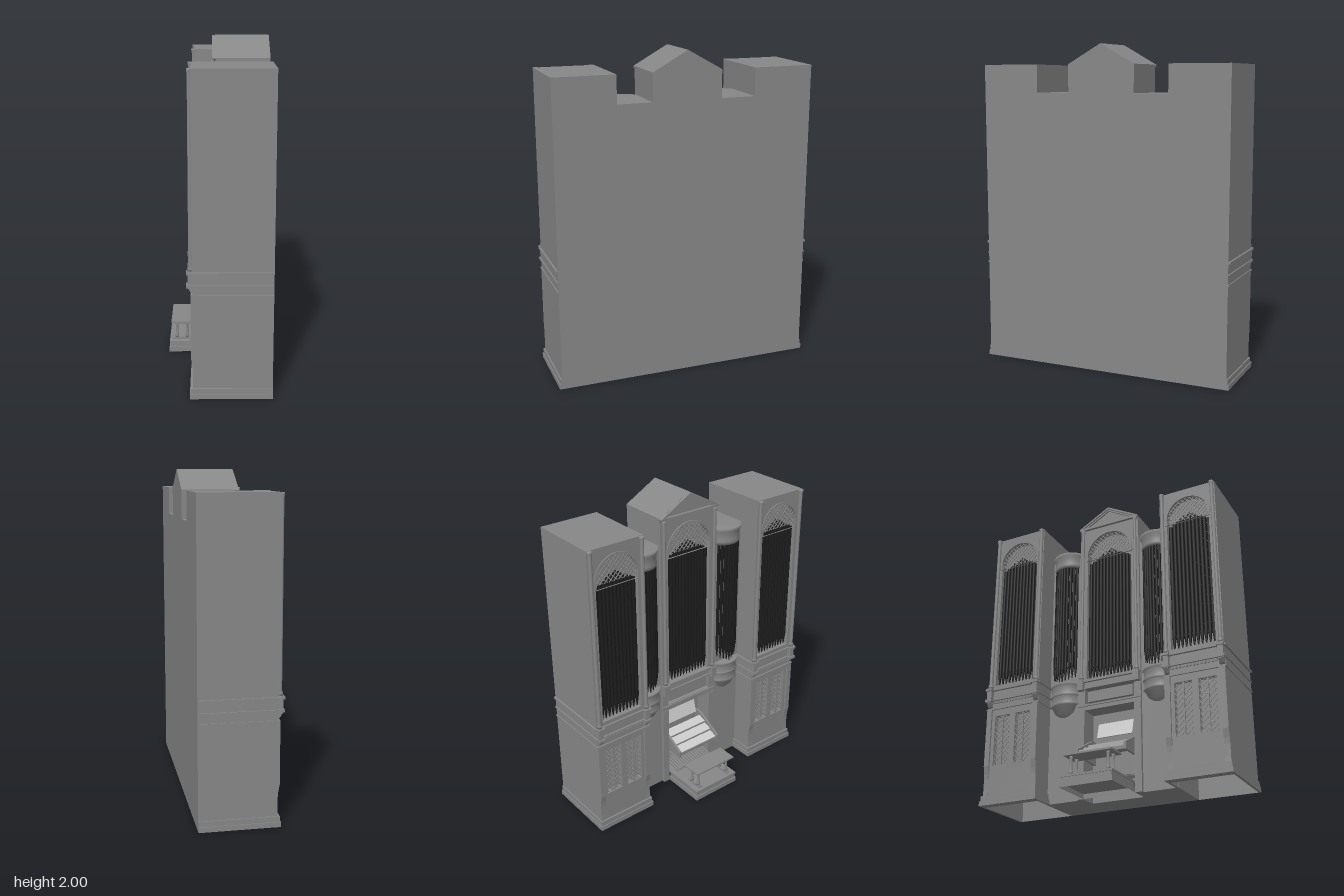
import * as THREE from 'three';

const wood = new THREE.MeshStandardMaterial({ color: 0x878787, side: THREE.DoubleSide });
const metal = new THREE.MeshStandardMaterial({ color: 0x1c1c1c, side: THREE.DoubleSide });
const ivory = new THREE.MeshStandardMaterial({ color: 0xd8d8d8 });

function add(parent, name, geo, mat = wood) {
  const mesh = new THREE.Mesh(geo, mat);
  mesh.name = name;
  parent.add(mesh);
  return mesh;
}

// Box given by its limits; open = without underside
function box(parent, name, x0, x1, y0, y1, z0, z1, open = false, mat = wood) {
  const g = new THREE.BoxGeometry(x1 - x0, y1 - y0, z1 - z0);
  if (open) {
    g.setIndex(Array.from(g.index.array).filter((_, i) => i < 18 || i > 23));
    g.clearGroups();
  }
  g.translate((x0 + x1) / 2, (y0 + y1) / 2, (z0 + z1) / 2);
  return add(parent, name, g, mat);
}

const points = pts => pts.map(p => new THREE.Vector2(...p));
const poly = pts => new THREE.Shape(points(pts));
const rect = (z0, z1, y0, y1) => poly([[z0, y0], [z1, y0], [z1, y1], [z0, y1]]);

// Round-headed outline
function arch(z, half, y0, spring) {
  const s = new THREE.Shape();
  s.moveTo(z - half, y0);
  s.lineTo(z + half, y0);
  s.lineTo(z + half, spring);
  s.absarc(z, spring, half, 0, Math.PI, false);
  s.closePath();
  return s;
}

// Outline in (z, y) extruded along x, holes optional
function slab(parent, name, shape, x0, x1, holes = []) {
  shape.holes.push(...holes);
  const g = new THREE.ExtrudeGeometry(shape, { depth: x1 - x0, bevelEnabled: false, curveSegments: 16 });
  g.rotateY(-Math.PI / 2).translate(x1, 0, 0);
  return add(parent, name, g);
}

// Side profile in (x, y) extruded along z, centred on z
function profile(parent, name, pts, z, width) {
  const g = new THREE.ExtrudeGeometry(poly(pts), { depth: width, bevelEnabled: false });
  return add(parent, name, g.translate(0, 0, z - width / 2));
}

// Crossing diagonal bars inside a rectangle
function lattice(parent, x, z0, z1, y0, y1, step) {
  const w = z1 - z0, h = y1 - y0;
  for (const dir of [1, -1]) {
    for (let c = step - h; c < w; c += step) {
      const a = Math.max(0, c), b = Math.min(w, c + h);
      if (b - a < 0.005) continue;
      const mid = (a + b) / 2;
      const bar = add(parent, 'latticeBar', new THREE.BoxGeometry(0.004, 0.005, (b - a) * Math.SQRT2));
      bar.position.set(x, y0 + mid - c, dir > 0 ? z0 + mid : z1 - mid);
      bar.rotation.x = -dir * Math.PI / 4;
    }
  }
}

// Organ pipe with tapered foot and mouth
function pipe(parent, x, z, y0, y1, r) {
  const foot = 0.075, h = y1 - y0;
  const pts = [[r * 0.25, 0], [r, foot], [r, h], [r * 0.8, h], [r * 0.8, h - 0.02]];
  add(parent, 'pipe', new THREE.LatheGeometry(points(pts), 12), metal).position.set(x, y0, z);
  box(parent, 'pipeMouth', x - r - 0.001, x - r * 0.7, y0 + foot, y0 + foot + 0.014, z - r * 0.5, z + r * 0.5, false, metal);
}

// Row of pipes: the middle ones are the longest
function pipeRow(parent, x, z, half, n, y0, y1, drop) {
  for (let i = 0; i < n; i++) {
    const t = (2 * i + 1) / n - 1;
    pipe(parent, x, z + t * half, y0, y1 - drop * Math.abs(t), half / n * 0.95);
  }
}

// Moulding round the front and both ends of a block
function band(parent, name, xf, z0, z1, y0, y1, out) {
  box(parent, name, xf - out, xf + 0.004, y0, y1, z0 - out, z1 + out);
  box(parent, name, xf, 0.31, y0, y1, z0 - out, z0 + 0.002);
  box(parent, name, xf, 0.31, y0, y1, z1 - 0.002, z1 + out);
}

function column(parent, x, z, y0, y1, r) {
  const h = y1 - y0;
  const pts = [[0, 0], [r * 1.5, 0], [r * 1.5, 0.015], [r, 0.03], [r, h - 0.03], [r * 1.3, h - 0.012], [r * 1.3, h], [0, h]];
  add(parent, 'column', new THREE.LatheGeometry(points(pts), 14)).position.set(x, y0, z);
}

function sideTower(s) {
  const g = new THREE.Group();
  g.name = s > 0 ? 'leftTower' : 'rightTower';
  const c = s * 0.6175, z0 = c - 0.1875, z1 = c + 0.1875;
  box(g, 'towerCase', -0.11, 0.31, 0, 1.88, z0, z1, true);
  // Front with arched pipe window above and two lattice panels below
  slab(g, 'upperFront', rect(z0, z1, 0.76, 1.88), -0.15, -0.11, [arch(c, 0.14, 0.785, 1.68)]);
  const panels = [-1, 1].map(k => rect(c + k * 0.075 - 0.055, c + k * 0.075 + 0.055, 0.25, 0.575));
  slab(g, 'lowerFront', rect(z0, z1, 0, 0.76), -0.145, -0.11, panels);
  for (const k of [-1, 1]) {
    const p = c + k * 0.075, e = c + k * 0.17;
    lattice(g, -0.135, p - 0.055, p + 0.055, 0.25, 0.575, 0.035);
    box(g, 'panelMullion', -0.142, -0.13, 0.25, 0.575, p - 0.004, p + 0.004);
    profile(g, 'lowerPilaster', [[-0.14, 0.06], [-0.147, 0.06], [-0.143, 0.14], [-0.148, 0.2], [-0.157, 0.25], [-0.157, 0.62], [-0.14, 0.62]], e, 0.035);
    column(g, -0.156, e, 0.765, 1.88, 0.012);
    // Mouldings step forward under each column
    box(g, 'columnPedestal', -0.172, -0.14, 0.665, 0.75, e - 0.017, e + 0.017);
    box(g, 'pedestalCap', -0.181, -0.14, 0.745, 0.762, e - 0.023, e + 0.023);
    box(g, 'pedestalBase', -0.181, -0.14, 0.67, 0.687, e - 0.023, e + 0.023);
    profile(g, 'columnBracket', [[-0.14, 0.63], [-0.155, 0.642], [-0.172, 0.67], [-0.14, 0.67]], e, 0.03);
  }
  lattice(g, -0.14, c - 0.14, c + 0.14, 1.66, 1.82, 0.032);
  pipeRow(g, -0.125, c, 0.138, 11, 0.787, 1.71, 0.08);
  slab(g, 'archMoulding', arch(c, 0.15, 1.64, 1.68), -0.156, -0.149, [arch(c, 0.138, 1.641, 1.68)]);
  // String courses, dentils and plinth
  band(g, 'stringCourse', -0.15, z0, z1, 0.748, 0.76, 0.012);
  band(g, 'stringCourse', -0.15, z0, z1, 0.68, 0.687, 0.008);
  band(g, 'stringCourse', -0.15, z0, z1, 0.618, 0.627, 0.006);
  for (let i = 0; i < 15; i++) {
    const z = z0 + 0.03 + i * 0.0225;
    box(g, 'dentil', -0.155, -0.145, 0.66, 0.675, z - 0.006, z + 0.006);
  }
  band(g, 'plinth', -0.15, z0, z1, 0, 0.03, 0.014);
  band(g, 'plinth', -0.15, z0, z1, 0.03, 0.062, 0.008);
  return g;
}

function roundBay(s) {
  const g = new THREE.Group();
  g.name = s > 0 ? 'leftBay' : 'rightBay';
  const c = s * 0.325, cx = 0.062, R = 0.122;
  box(g, 'bayCase', 0, 0.31, 0, 1.71, c - 0.11, c + 0.11);
  // Front part of a turned drum, starting at the flat wall
  const drum = (name, pts) => {
    const geo = new THREE.LatheGeometry(points(pts), 28, Math.PI + 0.5, Math.PI - 1);
    add(g, name, geo).position.set(cx, 0, c);
  };
  drum('corbelDrum', [[0.06, 0.54], [0.09, 0.57], [0.108, 0.615], [0.117, 0.615], [0.117, 0.63], [0.112, 0.635],
    [0.112, 0.675], [0.12, 0.675], [0.12, 0.69], [0.113, 0.695], [0.113, 0.74], [R, 0.745], [R, 0.762], [0, 0.762]]);
  drum('crown', [[0, 1.6], [0.112, 1.6], [0.115, 1.62], [0.112, 1.63], [0.112, 1.67], [R, 1.69], [R, 1.71], [0, 1.71]]);
  for (let i = -4; i <= 4; i++) {
    const a = i * 0.215;
    pipe(g, cx - Math.cos(a) * 0.101, c + Math.sin(a) * 0.101, 0.765 + 0.01 * Math.abs(i), 1.6, 0.0102);
  }
  return g;
}

function centre() {
  const g = new THREE.Group();
  g.name = 'centreCase';
  const w = 0.215;
  const gable = () => poly([[-w, 0.56], [w, 0.56], [w, 1.88], [0, 2], [-w, 1.88]]);
  slab(g, 'gabledCase', gable(), 0.03, 0.31);
  slab(g, 'gabledFront', gable(), -0.016, 0.03, [arch(0, 0.16, 0.76, 1.65), rect(-0.17, 0.17, 0.6, 0.7)]);
  box(g, 'friezePanel', -0.006, 0.03, 0.615, 0.685, -0.155, 0.155);
  box(g, 'nicheBack', 0.1, 0.31, 0, 0.56, -0.17, 0.17);
  for (const s of [-1, 1]) {
    box(g, 'nicheCheek', -0.02, 0.31, 0, 0.56, s * 0.1925 - 0.0225, s * 0.1925 + 0.0225);
    column(g, -0.024, s * 0.193, 0.765, 1.865, 0.01);
    box(g, 'columnPedestal', -0.045, -0.01, 0.69, 0.762, s * 0.193 - 0.02, s * 0.193 + 0.02);
    // Gable trim in two steps
    for (const [x, t] of [[-0.018, 0.022], [-0.027, 0.012]]) {
      const rake = add(g, 'gableTrim', new THREE.BoxGeometry(0.016, t, Math.hypot(w, 0.12)));
      rake.position.set(x, 1.939 - t * 0.57, s * w / 2);
      rake.rotation.x = s * Math.atan2(0.12, w);
    }
  }
  box(g, 'gableBase', -0.034, -0.01, 1.865, 1.88, -w, w);
  slab(g, 'archMoulding', arch(0, 0.17, 1.62, 1.65), -0.024, -0.015, [arch(0, 0.158, 1.621, 1.65)]);
  lattice(g, -0.008, -0.16, 0.16, 1.64, 1.81, 0.032);
  pipeRow(g, 0.008, 0, 0.158, 13, 0.762, 1.69, 0.09);
  for (const [y, h, o] of [[0.745, 0.017, 0.016], [0.7, 0.012, 0.01], [0.585, 0.012, 0.008]])
    box(g, 'stringCourse', -0.016 - o, -0.01, y, y + h, -w, w);
  return g;
}

function consoleGroup() {
  const g = new THREE.Group();
  g.name = 'playingConsole';
  // Three terraced sloping keyboards between cheeks
  for (let i = 0; i < 3; i++) {
    const x = -0.09 + i * 0.058, y = 0.275 + i * 0.032;
    const keys = add(g, 'keyboard', new THREE.BoxGeometry(0.06, 0.01, 0.3), ivory);
    keys.position.set(x, y, 0);
    keys.rotation.z = 0.32;
    box(g, 'keyboardRail', x - 0.025, x + 0.028, y - 0.035, y - 0.012, -0.15, 0.15);
  }
  for (const s of [-1, 1])
    profile(g, 'keyCheek', [[-0.125, 0.235], [0.1, 0.235], [0.1, 0.38], [0.06, 0.38], [-0.125, 0.28]], s * 0.158, 0.014);
  const desk = box(g, 'musicDesk', -0.004, 0.004, -0.05, 0.05, -0.12, 0.12, false, ivory);
  desk.position.set(0.07, 0.44, 0);
  desk.rotation.z = -0.25;
  // Pedals
  for (let i = 0; i < 15; i++) {
    const p = add(g, 'pedal', new THREE.BoxGeometry(0.17, 0.012, 0.01));
    p.position.set(0.01, 0.11, -0.14 + i * 0.02);
    p.rotation.z = 0.2;
  }
  // Stepped platform, hollow underneath, and niche floor
  box(g, 'platformStep', -0.31, -0.02, 0, 0.03, -0.17, 0.17, true);
  box(g, 'platformStep', -0.303, -0.02, 0.03, 0.058, -0.163, 0.163, true);
  box(g, 'platformTop', -0.308, -0.02, 0.058, 0.07, -0.168, 0.168);
  box(g, 'nicheFloor', -0.02, 0.1, 0.058, 0.07, -0.17, 0.17);
  // Bench
  box(g, 'benchSeat', -0.297, -0.163, 0.187, 0.198, -0.155, 0.155);
  for (const z of [-0.12, 0.12]) {
    box(g, 'benchFoot', -0.285, -0.175, 0.07, 0.082, z - 0.012, z + 0.012);
    for (const x of [-0.262, -0.198]) column(g, x, z, 0.08, 0.188, 0.008);
  }
  return g;
}

export function createModel() {
  const model = new THREE.Group();
  model.name = 'pipeOrgan';
  for (const s of [-1, 1]) model.add(sideTower(s), roundBay(s));
  model.add(centre(), consoleGroup());
  return model;
}
